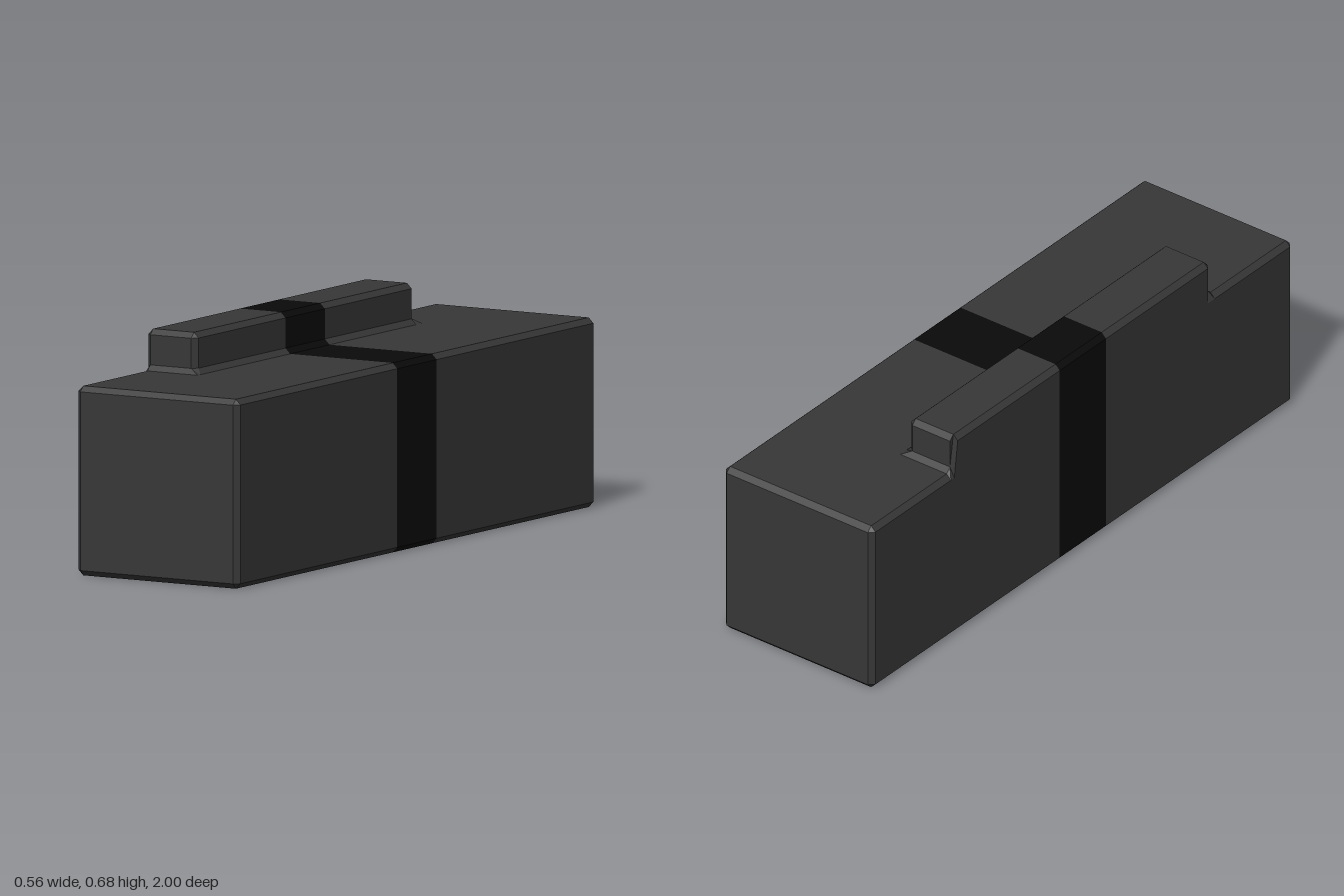
import * as THREE from 'three';

const W = 0.278, H = 0.56, C = 0.016;   // half width, body height, bevel
const I = W - C, T = H - C;             // bevel-inset half width and height
const RX = -0.106, RT = 0.681, F = H + C; // rail side, rail top, flare top
const ZR = 0.61, ZB = 0.11;             // rail half length, band half width

// Body outline, anticlockwise, with the rail's points (5 on the right to the left end) put in between
const outline = (rail) => [
  [-I, 0], [I, 0], [W, C], [W, T], [I, H],
  ...rail, [-W, T], [-W, C],
];
const flat = outline([[-0.09, H], [-0.09, H], [-0.09, H], [-0.09, H], [-I, H], [-W, T]]);
const flare = outline([[-0.09, H], [RX - C, F], [RX - C, F], [RX - C, F], [-I, F], [-I, F]]);
const railEnd = outline([[-0.09, H], [RX - C, F], [RX - C, RT - C], [RX - C, RT - C], [-I, RT - C], [-I, F]]);
const railFull = outline([[-0.09, H], [RX, F], [RX, RT - C], [RX - C, RT], [-I, RT], [-W, RT - C]]);
const endFace = flat.map(([x, y]) => [
  THREE.MathUtils.clamp(x, -I, I), THREE.MathUtils.clamp(y, C, T),
]);

// Skins a run of sections ordered from +z to -z, leaving out empty triangles
function loft(sections, capFirst, capLast) {
  const rings = sections.map(([z, pts]) => pts.map(([x, y]) => new THREE.Vector3(x, y, z)));
  const out = [];
  const tri = (a, b, c) => {
    if (new THREE.Triangle(a, b, c).getArea() > 1e-8) out.push(a, b, c);
  };
  const n = rings[0].length;
  for (let k = 0; k < rings.length - 1; k++) {
    for (let i = 0; i < n; i++) {
      const j = (i + 1) % n;
      const a = rings[k][i], b = rings[k][j], c = rings[k + 1][j], d = rings[k + 1][i];
      tri(a, c, b);
      tri(a, d, c);
    }
  }
  const last = rings[rings.length - 1];
  for (let i = 1; i < n - 1; i++) {
    if (capFirst) tri(rings[0][0], rings[0][i], rings[0][i + 1]);
    if (capLast) tri(last[0], last[i + 1], last[i]);
  }
  const geometry = new THREE.BufferGeometry().setFromPoints(out);
  geometry.computeVertexNormals();
  return geometry;
}

export function createModel() {
  const group = new THREE.Group();
  const bodyMaterial = new THREE.MeshStandardMaterial({ color: 0x373737, flatShading: true });
  const bandMaterial = new THREE.MeshStandardMaterial({ color: 0x0a0a0a, flatShading: true });
  const add = (name, geometry, material) => {
    const mesh = new THREE.Mesh(geometry, material);
    mesh.name = name;
    group.add(mesh);
  };

  // Bevelled block halves, each with its part of the raised rail
  const half = [
    [1, endFace], [1 - C, flat], [ZR + C, flat], [ZR, flare],
    [ZR, railEnd], [ZR - C, railFull], [ZB, railFull],
  ];
  add('frontBody', loft(half, true, false), bodyMaterial);
  add('backBody', loft(half.map(([z, pts]) => [-z, pts]).reverse(), false, true), bodyMaterial);

  // Dark band around the middle, flush with the body and rail
  add('middleBand', loft([[ZB, railFull], [-ZB, railFull]], false, false), bandMaterial);

  return group;
}
